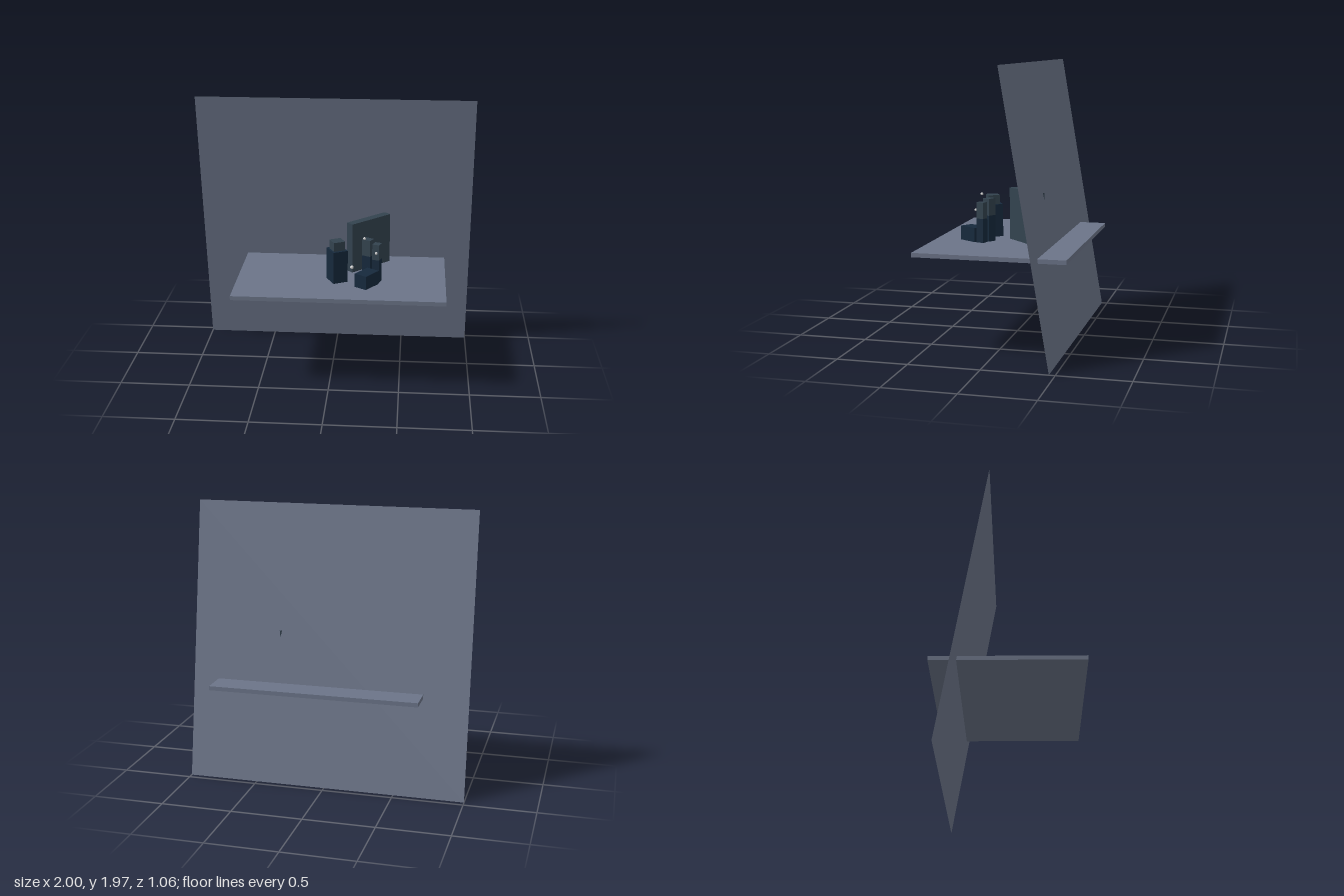
import * as THREE from 'three';

const mat = (color, extra = {}) => new THREE.MeshStandardMaterial({ color, ...extra });

export function createModel() {
  const model = new THREE.Group();
  const slate = mat(0x6b7488);
  const navy = mat(0x16293c);
  const teal = mat(0x33434f);
  const pearl = mat(0xcccccc);

  // Upright box given by its centre, footprint, bottom, top and turn about y
  const block = (name, material, x, z, w, d, y0, y1, turn = 0, parent = model) => {
    const mesh = new THREE.Mesh(new THREE.BoxGeometry(w, y1 - y0, d), material);
    mesh.name = name;
    mesh.position.set(x, (y0 + y1) / 2, z);
    mesh.rotation.y = turn;
    parent.add(mesh);
    return mesh;
  };

  // Leaning square back panel, a single thin sheet
  const panel = new THREE.Mesh(
    new THREE.PlaneGeometry(2, 2),
    mat(0x6b7488, { side: THREE.DoubleSide }),
  );
  panel.name = 'backPanel';
  panel.position.set(0, 0.986, -0.29);
  panel.rotation.x = 0.169;
  model.add(panel);

  // Shelf passing through the panel
  block('shelf', slate, 0.0675, 0, 1.495, 1.06, 0.685, 0.715);

  // Standing board whose rear corner pokes through the panel
  block('standingBoard', teal, 0.251, -0.13, 0.37, 0.06, 0.715, 1.085, 0.78);

  // Capped containers: [name, x, z, body w, body d, cap w, cap d, shoulder y, top y, turn]
  const containers = [
    ['largeContainer', 0.04, 0.172, 0.11, 0.125, 0.085, 0.085, 0.95, 1.015, 0.48],
    ['tallContainer', 0.258, 0.14, 0.066, 0.055, 0.066, 0.055, 0.9, 1.02, -0.5],
    ['slimContainer', 0.324, 0.176, 0.052, 0.055, 0.052, 0.055, 0.885, 1.0, -0.35],
  ];
  for (const [name, x, z, w, d, cw, cd, shoulder, top, turn] of containers) {
    const group = new THREE.Group();
    group.name = name;
    model.add(group);
    block(name + 'Body', navy, x, z, w, d, 0.715, shoulder, turn, group);
    block(name + 'Cap', teal, x, z, cw, cd, shoulder, top, turn, group);
  }

  // Low box in front
  block('lowBox', navy, 0.256, 0.26, 0.1, 0.15, 0.715, 0.815, -0.6);

  // Small floating beads
  const beads = [[0.15, 0.845, 0.25], [0.235, 1.045, 0.2], [0.32, 0.943, 0.22]];
  beads.forEach((p, i) => {
    const bead = new THREE.Mesh(new THREE.SphereGeometry(i ? 0.01 : 0.013, 16, 12), pearl);
    bead.name = 'bead' + (i + 1);
    bead.position.set(...p);
    model.add(bead);
  });

  return model;
}
